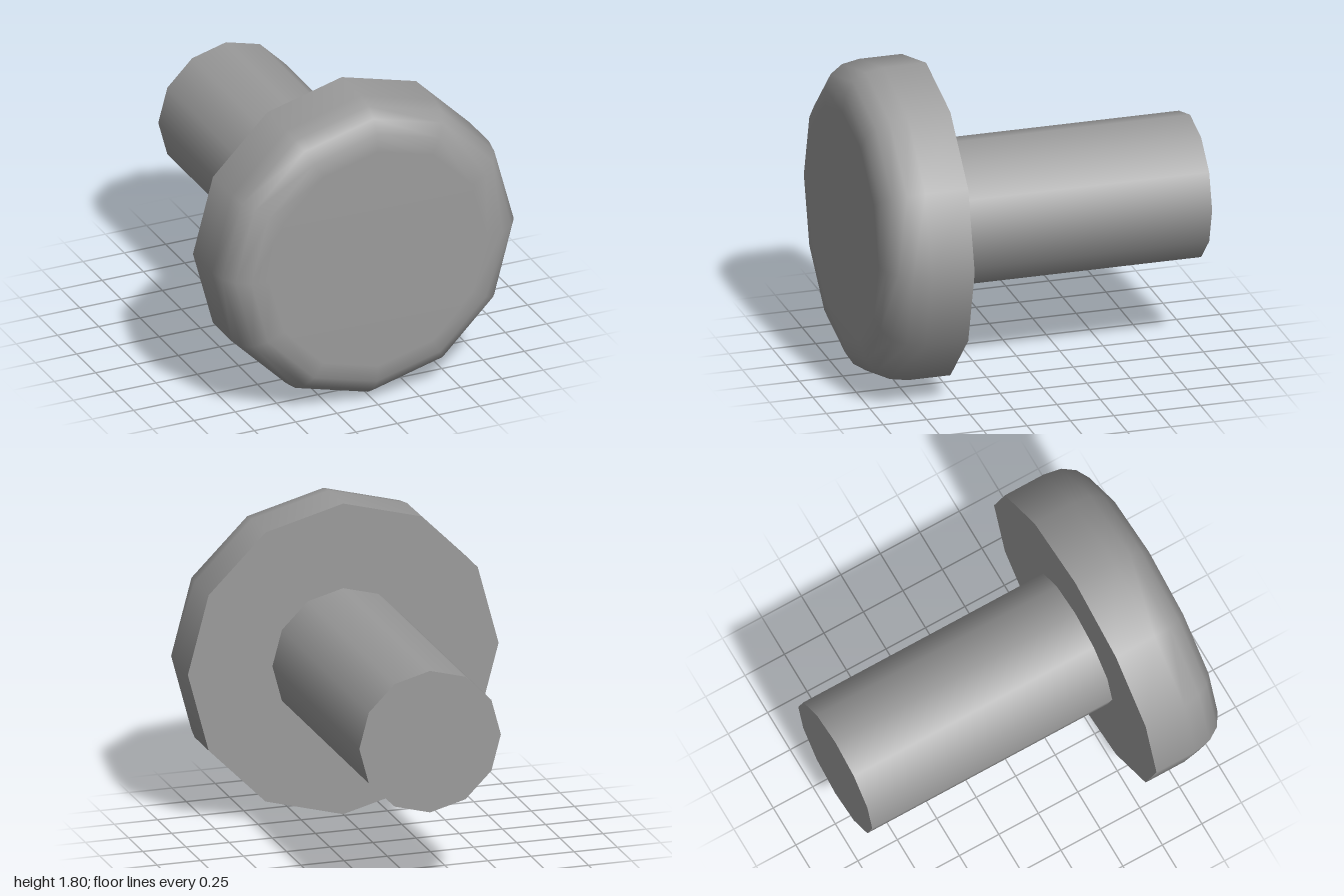
import * as THREE from 'three';

const SIDES = 12;
const HEAD_R = 0.9, SHAFT_R = 0.41;
const BACK = -1, SEAT = 0.52; // z of the shaft end and of the head's underside

export function createModel() {
  const model = new THREE.Group();
  model.name = 'roundHeadedPin';
  const material = new THREE.MeshStandardMaterial({ color: 0x9b9b9b });

  const add = (name, geometry, z) => {
    const mesh = new THREE.Mesh(geometry, material);
    mesh.name = name;
    mesh.position.set(0, HEAD_R, z);
    model.add(mesh);
  };

  // Rounded head: [radius, z] profile turned about the z axis
  const profile = [
    [HEAD_R, SEAT], [HEAD_R, 0.765], [0.882, 0.867], [0.835, 0.939],
    [0.761, 0.987], [0.66, 1], [0, 1],
  ].map(([r, z]) => new THREE.Vector2(r, z));
  add('head', new THREE.LatheGeometry(profile, SIDES).rotateX(Math.PI / 2), 0);

  // Flat underside of the head, facing back around the shaft
  add('headUnderside', new THREE.RingGeometry(SHAFT_R, HEAD_R, SIDES).rotateY(Math.PI), SEAT);

  // Plain shaft with a flat end
  const shaft = new THREE.CylinderGeometry(SHAFT_R, SHAFT_R, SEAT - BACK, SIDES);
  add('shaft', shaft.rotateX(Math.PI / 2), (SEAT + BACK) / 2);

  return model;
}
